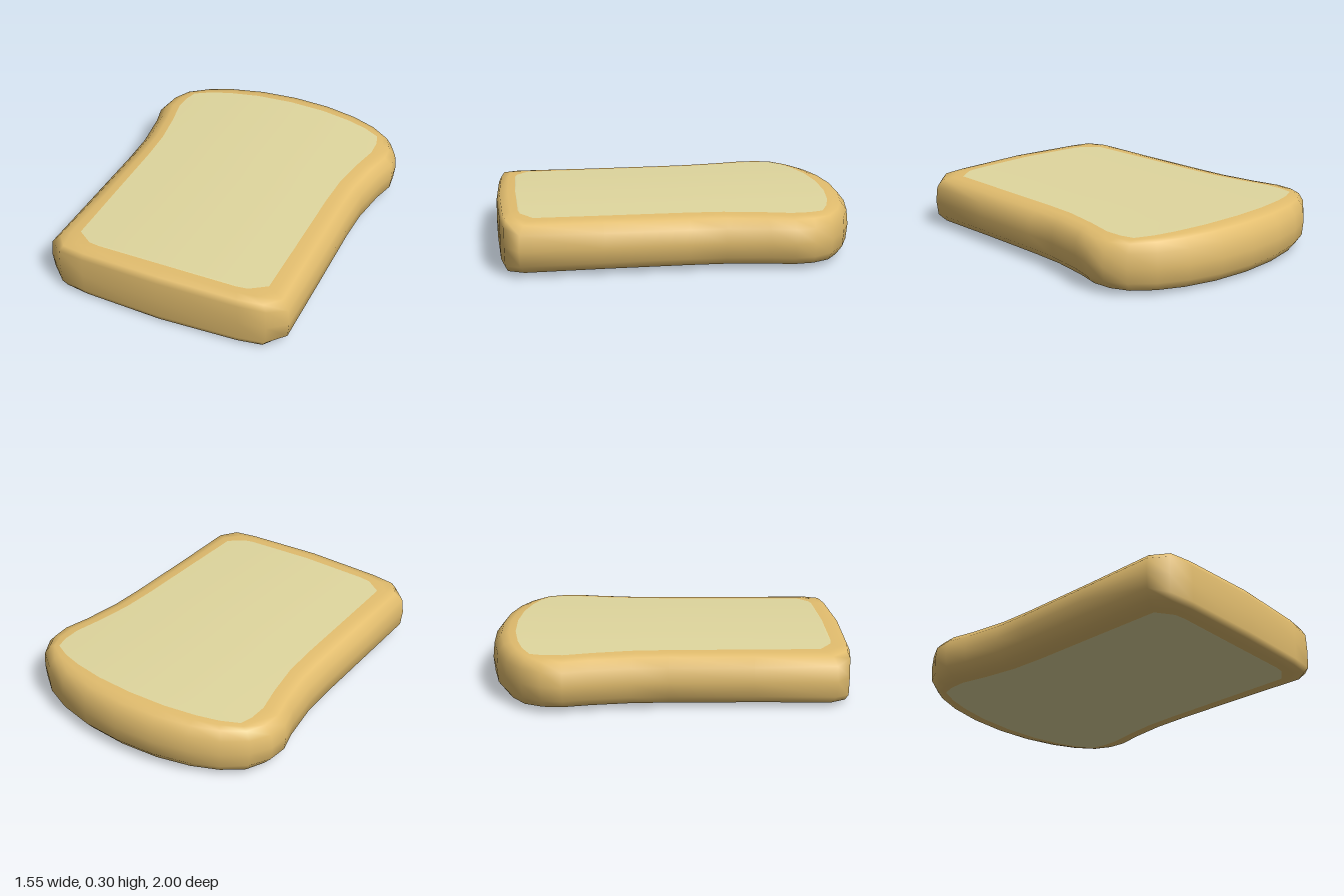
import * as THREE from 'three';

// Half outlines [x, z], running from the domed back to the straight front
const CRUST = [[0, -1], [0.22, -0.985], [0.42, -0.94], [0.58, -0.87], [0.70, -0.775], [0.765, -0.665], [0.777, -0.555],
  [0.742, -0.43], [0.707, -0.2], [0.70, 0], [0.70, 0.45], [0.695, 0.89], [0.6, 0.965], [0.45, 0.985], [0, 1]];
const CRUMB = [[0, -0.867], [0.22, -0.855], [0.4, -0.822], [0.52, -0.785], [0.615, -0.735], [0.635, -0.66], [0.637, -0.56],
  [0.602, -0.4], [0.57, -0.2], [0.56, 0], [0.555, 0.45], [0.55, 0.81], [0.46, 0.875], [0.4, 0.885], [0, 0.892]];
const MID = 0.153;

// Half thickness, slightly domed across the width
const halfHeight = (x) => 0.152 - 0.04 * x * x;

function meshFrom(name, positions, indices, color) {
  const geometry = new THREE.BufferGeometry();
  geometry.setAttribute('position', new THREE.Float32BufferAttribute(positions, 3));
  geometry.setIndex(indices);
  geometry.computeVertexNormals();
  const mesh = new THREE.Mesh(geometry, new THREE.MeshStandardMaterial({ color }));
  mesh.name = name;
  return mesh;
}

// Mirrors a half outline into a closed loop
const closedLoop = (half) => [...half, ...half.slice(1, -1).reverse().map(([x, z]) => [-x, z])];

// Rounded rim: rings swept from the upper crumb edge, around the side, to the lower one
function crust() {
  const inner = closedLoop(CRUMB), outer = closedLoop(CRUST), n = inner.length;
  // [outward share, height share] on the sides, and on the squarer front end
  const soft = [[0, 1], [0.3, 0.975], [0.62, 0.9], [0.93, 0.57], [1, 0]];
  const square = [[0, 1], [0.4, 0.99], [0.83, 0.95], [0.98, 0.72], [1, 0]];
  const positions = [], indices = [];
  for (let j = 0; j < 9; j++) {
    const k = j < 5 ? j : 8 - j, sign = j < 5 ? 1 : -1;
    for (let i = 0; i < n; i++) {
      const [x0, z0] = inner[i], [x1, z1] = outer[i];
      const s = THREE.MathUtils.smoothstep(z1, 0.85, 0.98);
      const t = THREE.MathUtils.lerp(soft[k][0], square[k][0], s);
      const h = THREE.MathUtils.lerp(soft[k][1], square[k][1], s);
      positions.push(x0 + (x1 - x0) * t, MID + sign * h * halfHeight(x0), z0 + (z1 - z0) * t);
      if (j < 8) {
        const a = j * n + i, b = j * n + (i + 1) % n;
        indices.push(a, b, a + n, b, b + n, a + n);
      }
    }
  }
  return meshFrom('crust', positions, indices, 0xe2bd6e);
}

// Domed crumb face, built in rows between the mirrored edges
function crumb(name, sign) {
  const cols = 8, positions = [], indices = [];
  CRUMB.forEach(([half, z], r) => {
    for (let c = 0; c <= cols; c++) {
      const x = half * (c / cols * 2 - 1);
      positions.push(x, MID + sign * halfHeight(x), z);
      if (r < CRUMB.length - 1 && c < cols) {
        const a = r * (cols + 1) + c, b = a + cols + 1;
        if (sign > 0) indices.push(a, b, a + 1, a + 1, b, b + 1);
        else indices.push(a, a + 1, b, a + 1, b + 1, b);
      }
    }
  });
  return meshFrom(name, positions, indices, 0xe0d79e);
}

export function createModel() {
  const group = new THREE.Group();
  group.name = 'breadSlice';
  group.add(crust(), crumb('topCrumb', 1), crumb('bottomCrumb', -1));
  return group;
}
